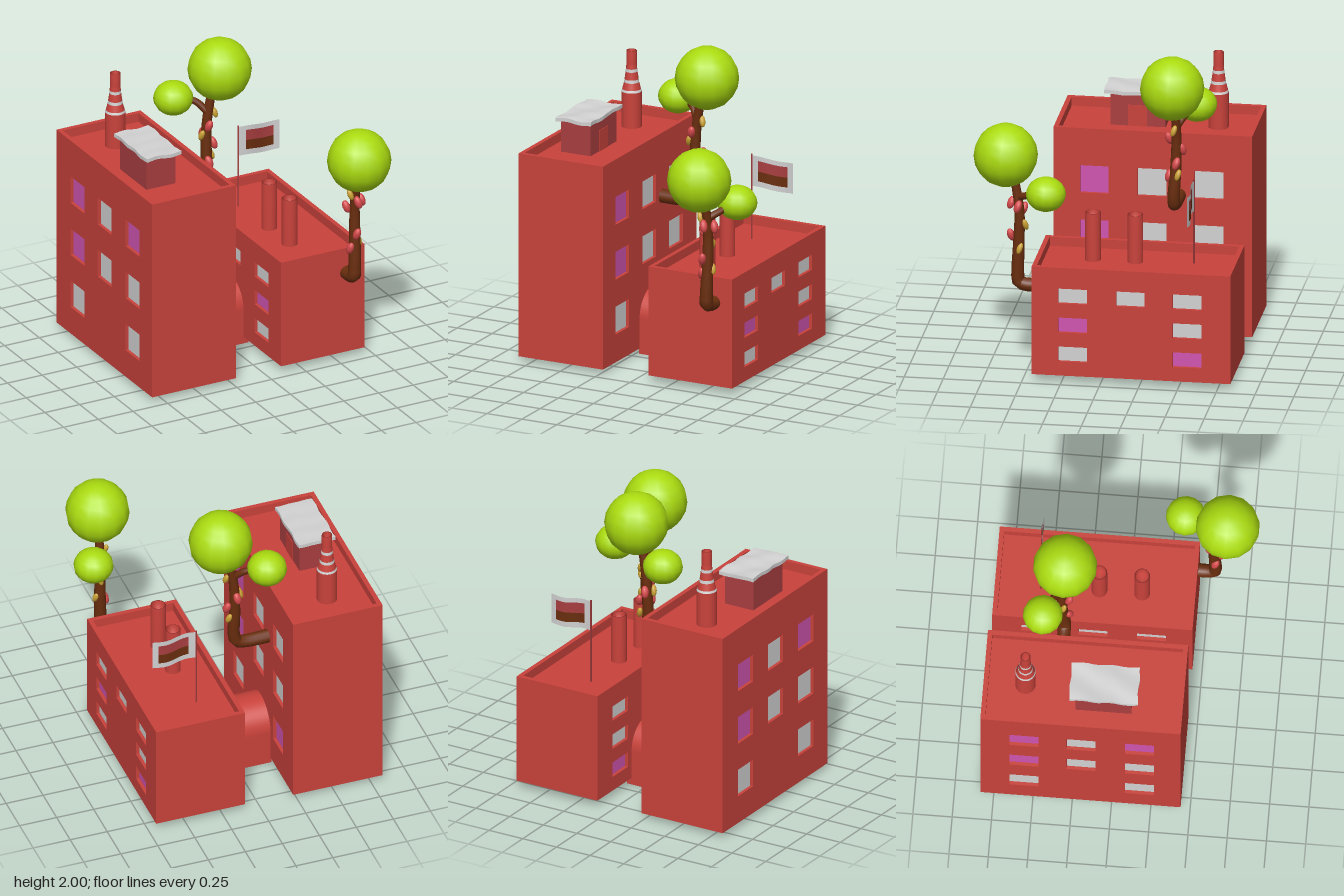
import * as THREE from 'three';

const mat = (name, color, side = THREE.FrontSide) => {
  const m = new THREE.MeshStandardMaterial({ color, side });
  m.name = name;
  return m;
};

export function createModel() {
  const root = new THREE.Group();
  root.name = 'rooftopGardenBuildings';
  const red = mat('wallRed', 0xc9423b);
  const brick = mat('darkBrick', 0xa93e40, THREE.DoubleSide);
  const pale = mat('paleGrey', 0xd2d2d2, THREE.DoubleSide);
  const pink = mat('windowPink', 0xd054b0);
  const bark = mat('barkBrown', 0x6a2e0e, THREE.DoubleSide);
  const leaf = mat('leafGreen', 0xabdc10);
  const podRed = mat('podRed', 0xd4484a);
  const podGold = mat('podGold', 0xc9a032);

  const add = (parent, name, geo, material, x = 0, y = 0, z = 0) => {
    const m = new THREE.Mesh(geo, material);
    m.name = name;
    m.position.set(x, y, z);
    parent.add(m);
    return m;
  };
  const box = (parent, name, material, x0, x1, y0, y1, z0, z1) =>
    add(parent, name, new THREE.BoxGeometry(x1 - x0, y1 - y0, z1 - z0), material,
      (x0 + x1) / 2, (y0 + y1) / 2, (z0 + z1) / 2);

  // Buildings: solid core, pierced side walls, parapet and recessed panes
  const Z0 = -0.835, Z1 = 0.44, T = 0.03;
  const columns = [0.178, -0.193, -0.557];
  const W = 0.185;
  function building(name, x0, x1, y0, y1, rows, h, east, west) {
    const g = new THREE.Group();
    g.name = name;
    root.add(g);
    box(g, 'core', red, x0 + T, x1 - T, y0, y1 - 0.06, Z0, Z1);
    box(g, 'frontParapet', red, x0 + T, x1 - T, y1 - 0.06, y1, Z1 - T, Z1);
    box(g, 'backParapet', red, x0 + T, x1 - T, y1 - 0.06, y1, Z0, Z0 + T);
    [[x1, x1 - T, east], [x0 + T, x0 + T, west]].forEach(([outer, coreX, layout], side) => {
      const wall = new THREE.Shape();
      wall.moveTo(Z0, y0).lineTo(Z1, y0).lineTo(Z1, y1).lineTo(Z0, y1).closePath();
      columns.forEach((z, c) => rows.forEach((y, r) => {
        const kind = layout[c][r];
        if (kind === '-') return;
        const hole = new THREE.Path();
        hole.moveTo(z - W / 2, y).lineTo(z - W / 2, y + h)
          .lineTo(z + W / 2, y + h).lineTo(z + W / 2, y).closePath();
        wall.holes.push(hole);
        add(g, 'windowPane', new THREE.BoxGeometry(0.008, h, W), kind === 'p' ? pink : pale,
          coreX + (side ? -0.004 : 0.004), y + h / 2, z);
      }));
      const geo = new THREE.ExtrudeGeometry(wall, { depth: T, bevelEnabled: false });
      geo.rotateY(-Math.PI / 2);
      add(g, 'sideWall', geo, red, outer);
    });
    return g;
  }
  // Layout strings run from the top row down; w = pale, p = pink, - = none
  building('tallBuilding', -0.83, -0.225, 0.035, 1.385, [0.95, 0.585, 0.22], 0.185,
    ['ppw', 'ww-', 'wwp'], ['pww', 'ww-', 'ppw']);
  building('lowBuilding', 0.1, 0.7, 0.045, 0.77, [0.53, 0.335, 0.14], 0.1,
    ['wpw', 'w--', 'wwp'], ['wpw', 'w--', 'wwp']);

  // Vaulted passage between the buildings
  const arch = new THREE.Shape();
  arch.moveTo(0.06, 0).lineTo(0.42, 0).lineTo(0.42, 0.23).absarc(0.24, 0.23, 0.18, 0, Math.PI, false);
  arch.closePath();
  const passage = new THREE.ExtrudeGeometry(arch, { depth: 0.365, bevelEnabled: false, curveSegments: 24 });
  passage.rotateY(Math.PI / 2);
  add(root, 'passage', passage, red, -0.23);

  // Roof hut with door and wavy slab
  const hut = new THREE.Group();
  hut.name = 'roofHut';
  root.add(hut);
  box(hut, 'hutWalls', brick, -0.695, -0.485, 1.32, 1.54, -0.24, 0.115);
  box(hut, 'hutDoor', red, -0.488, -0.481, 1.325, 1.465, -0.12, 0);
  const slab = new THREE.BoxGeometry(0.25, 0.024, 0.435, 8, 1, 12);
  const p = slab.attributes.position;
  for (let i = 0; i < p.count; i++) {
    const x = p.getX(i), z = p.getZ(i);
    p.setXYZ(i, x + 0.004 * Math.sin(z * 31),
      p.getY(i) + 0.004 * Math.sin(x * 27 + z * 14) + 0.002 * Math.sin(z * 45),
      z + 0.004 * Math.sin(x * 40));
  }
  slab.computeVertexNormals();
  add(hut, 'hutSlab', slab, pale, -0.59, 1.55, -0.063);

  // Chimneys
  const lathe = (parent, name, pts, material, x, z) =>
    add(parent, name, new THREE.LatheGeometry(pts.map(([r, y]) => new THREE.Vector2(r, y)), 24), material, x, 0, z);
  const stack = new THREE.Group();
  stack.name = 'tallChimney';
  root.add(stack);
  const sx = -0.55, sz = -0.57;
  lathe(stack, 'chimneyBase', [[0.065, 1.32], [0.065, 1.56]], red, sx, sz);
  const neck = [[0.065, 1.56], [0.06, 1.575], [0.048, 1.62], [0.045, 1.64], [0.038, 1.69], [0.036, 1.71], [0.033, 1.74]];
  neck.slice(1).forEach((b, i) =>
    lathe(stack, i % 2 ? 'chimneyTaper' : 'chimneyBand', [neck[i], b], i % 2 ? red : pale, sx, sz));
  // the last taper piece carries the flue
  stack.children[stack.children.length - 1].material = red;
  lathe(stack, 'chimneyFlue', [[0.033, 1.74], [0.033, 1.83], [0.026, 1.83], [0.026, 1.76], [0, 1.76]], red, sx, sz);
  for (const z of [-0.172, 0.1])
    lathe(root, 'shortChimney', [[0.05, 0.7], [0.05, 1.03], [0.043, 1.03], [0.043, 0.95], [0, 0.95]], red, 0.345, z);

  // Flag: rippling cloth with a two-colour centre on both faces
  const flag = new THREE.Group();
  flag.name = 'flag';
  flag.position.set(0.325, 0, -0.545);
  root.add(flag);
  add(flag, 'flagPole', new THREE.CylinderGeometry(0.005, 0.005, 0.575, 8), brick, 0, 0.988, 0);
  const cloth = (name, x0, x1, y0, y1, off, material) => {
    const geo = new THREE.PlaneGeometry(x1 - x0, y1 - y0, 12, 4);
    geo.translate((x0 + x1) / 2, (y0 + y1) / 2, 0);
    const q = geo.attributes.position;
    for (let i = 0; i < q.count; i++) {
      const x = q.getX(i);
      q.setZ(i, 0.008 * Math.sin(x * 22) + off);
      q.setY(i, q.getY(i) - 0.05 * x + 0.005 * Math.sin(x * 25));
    }
    geo.computeVertexNormals();
    add(flag, name, geo, material);
  };
  cloth('flagCloth', 0, 0.295, 1.063, 1.265, 0, pale);
  for (const off of [0.003, -0.003]) {
    cloth('flagUpperStripe', 0.05, 0.255, 1.165, 1.235, off, brick);
    cloth('flagLowerStripe', 0.05, 0.255, 1.1, 1.165, off, bark);
  }

  // Trees growing out of the walls: tapered tubes, round crowns, hanging pods
  const limb = (parent, name, pts, r0, r1) => {
    const curve = new THREE.CatmullRomCurve3(pts.map(a => new THREE.Vector3(...a)), false, 'centripetal');
    const n = 28, k = 12;
    const geo = new THREE.TubeGeometry(curve, n, 1, k);
    const q = geo.attributes.position, v = new THREE.Vector3();
    for (let i = 0; i <= n; i++) {
      const c = curve.getPointAt(i / n), r = r0 + (r1 - r0) * i / n;
      for (let j = 0; j <= k; j++) {
        const id = i * (k + 1) + j;
        v.fromBufferAttribute(q, id).sub(c).multiplyScalar(r).add(c);
        q.setXYZ(id, v.x, v.y, v.z);
      }
    }
    add(parent, name, geo, bark);
  };
  function tree(name, trunk, branch, crown, smallCrown, reds, golds) {
    const g = new THREE.Group();
    g.name = name;
    root.add(g);
    limb(g, 'trunk', trunk, 0.046, 0.027);
    limb(g, 'branch', branch, 0.024, 0.02);
    add(g, 'crown', new THREE.SphereGeometry(0.205, 14, 10), leaf, ...crown);
    add(g, 'smallCrown', new THREE.SphereGeometry(0.128, 14, 10), leaf, ...smallCrown).scale.y = 0.87;
    [[reds, podRed, 0.025, 0.043], [golds, podGold, 0.019, 0.038]].forEach(([list, material, r, h]) =>
      list.forEach((at, i) => {
        const pod = add(g, 'pod', new THREE.SphereGeometry(1, 10, 8), material, ...at);
        pod.scale.set(r, h, r);
        pod.rotation.set(i % 2 ? 0.3 : -0.3, 0, i % 2 ? -0.2 : 0.25);
      }));
  }
  tree('tallBuildingTree',
    [[-0.26, 0.968, -0.365], [-0.06, 0.968, -0.365], [-0.012, 0.985, -0.365], [0.004, 1.04, -0.366],
      [0.003, 1.25, -0.38], [0.012, 1.45, -0.385], [0.05, 1.68, -0.38]],
    [[0.012, 1.51, -0.385], [-0.04, 1.57, -0.43], [-0.14, 1.61, -0.48]],
    [0.095, 1.798, -0.37], [-0.175, 1.605, -0.49],
    [[0.06, 1.28, -0.39], [0, 1.43, -0.337], [0, 1.18, -0.335], [0.0, 1.36, -0.42]],
    [[0.06, 1.5, -0.375], [-0.035, 1.36, -0.37], [0.05, 1.2, -0.4]]);
  tree('lowBuildingTree',
    [[0.57, 0.602, 0.4], [0.57, 0.602, 0.5], [0.57, 0.62, 0.543], [0.572, 0.68, 0.548],
      [0.577, 0.9, 0.54], [0.578, 1.1, 0.537], [0.572, 1.32, 0.57]],
    [[0.578, 1.19, 0.54], [0.61, 1.21, 0.5], [0.67, 1.25, 0.4]],
    [0.562, 1.463, 0.627], [0.69, 1.258, 0.35],
    [[0.53, 1.1, 0.515], [0.54, 0.82, 0.55], [0.625, 1.14, 0.54], [0.565, 0.93, 0.592], [0.575, 1.15, 0.59]],
    [[0.61, 0.855, 0.53], [0.59, 1.01, 0.497], [0.535, 1.2, 0.56]]);

  return root;
}
